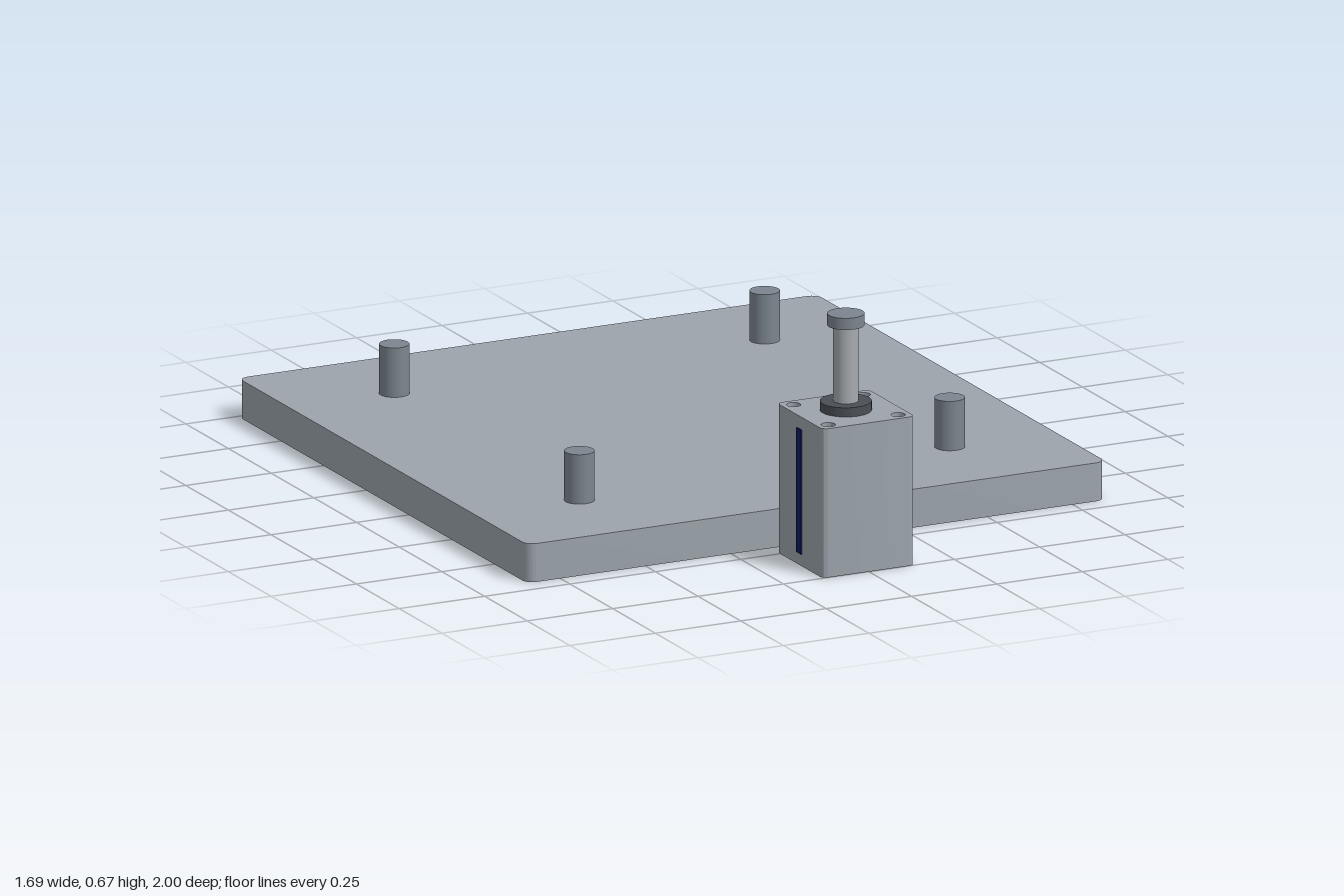
import * as THREE from 'three';
import { toCreasedNormals } from 'three/addons/utils/BufferGeometryUtils.js';

const mat = (color) => new THREE.MeshStandardMaterial({ color });
const light = mat(0x9ca4ac), steel = mat(0x7c868f), bright = mat(0xa6abb0);
const dark = mat(0x4a4f55), navy = mat(0x0c1c5c);

function add(parent, name, geometry, material, x = 0, y = 0, z = 0) {
  const mesh = new THREE.Mesh(geometry, material);
  mesh.name = name;
  mesh.position.set(x, y, z);
  parent.add(mesh);
  return mesh;
}

// Square outline with rounded corners; an optional slot is cut into its +x side
function roundedSquare(h, r, slotHalf = 0, slotDepth = 0) {
  const s = new THREE.Shape();
  s.moveTo(-h + r, -h);
  s.absarc(h - r, -h + r, r, -Math.PI / 2, 0, false);
  if (slotHalf) {
    s.lineTo(h, -slotHalf);
    s.lineTo(h - slotDepth, -slotHalf);
    s.lineTo(h - slotDepth, slotHalf);
    s.lineTo(h, slotHalf);
  }
  s.absarc(h - r, h - r, r, 0, Math.PI / 2, false);
  s.absarc(-h + r, h - r, r, Math.PI / 2, Math.PI, false);
  s.absarc(-h + r, -h + r, r, Math.PI, Math.PI * 1.5, false);
  return s;
}

function drill(shape, x, y, r) {
  const hole = new THREE.Path();
  hole.absarc(x, y, r, 0, Math.PI * 2, true);
  shape.holes.push(hole);
}

function extrude(shape, depth) {
  const g = new THREE.ExtrudeGeometry(shape, { depth, bevelEnabled: false, curveSegments: 10 });
  return toCreasedNormals(g, 0.7);
}

// Upright cylinder standing on y = 0
const post = (r, h) => new THREE.CylinderGeometry(r, r, h, 40).translate(0, h / 2, 0);

export function createModel() {
  const model = new THREE.Group();
  model.name = 'clampFixture';

  // Base plate with four locating pins
  const plate = extrude(roundedSquare(0.847, 0.03), 0.105).rotateX(-Math.PI / 2);
  add(model, 'basePlate', plate, light, 0, 0, -0.153);
  for (const x of [-0.542, 0.542])
    for (const z of [-0.695, 0.389]) add(model, 'locatingPin', post(0.04, 0.135), steel, x, 0.105, z);

  // Actuator in front of the plate
  const actuator = new THREE.Group();
  actuator.name = 'actuator';
  actuator.position.z = 0.865;
  model.add(actuator);

  // Housing with four through bolt holes
  const H = 0.407, half = 0.135, slotHalf = 0.05, slotDepth = 0.06;
  const outline = roundedSquare(half, 0.018, slotHalf, slotDepth);
  for (const x of [-0.102, 0.102])
    for (const z of [-0.102, 0.102]) drill(outline, x, z, 0.019);
  add(actuator, 'housing', extrude(outline, H).rotateX(-Math.PI / 2), light);

  // Flush insert on the side, carrying the two ports
  const insert = new THREE.Shape();
  insert.moveTo(-slotHalf, 0);
  insert.lineTo(slotHalf, 0);
  insert.lineTo(slotHalf, H);
  insert.lineTo(-slotHalf, H);
  for (const y of [0.055, 0.353]) drill(insert, 0, y, 0.018);
  add(actuator, 'portInsert', extrude(insert, slotDepth).rotateY(Math.PI / 2), light, half - slotDepth);

  // Sensor strip on the opposite side
  add(actuator, 'sensorStrip', new THREE.BoxGeometry(0.008, 0.34, 0.027), navy, -half, 0.203, 0);

  // Seal collar, piston rod and head
  add(actuator, 'collar', post(0.068, 0.025), dark, 0, H, 0);
  add(actuator, 'pistonRod', post(0.033, 0.208), bright, 0, 0.432, 0);
  add(actuator, 'rodHead', post(0.049, 0.032), steel, 0, 0.639, 0);

  return model;
}
